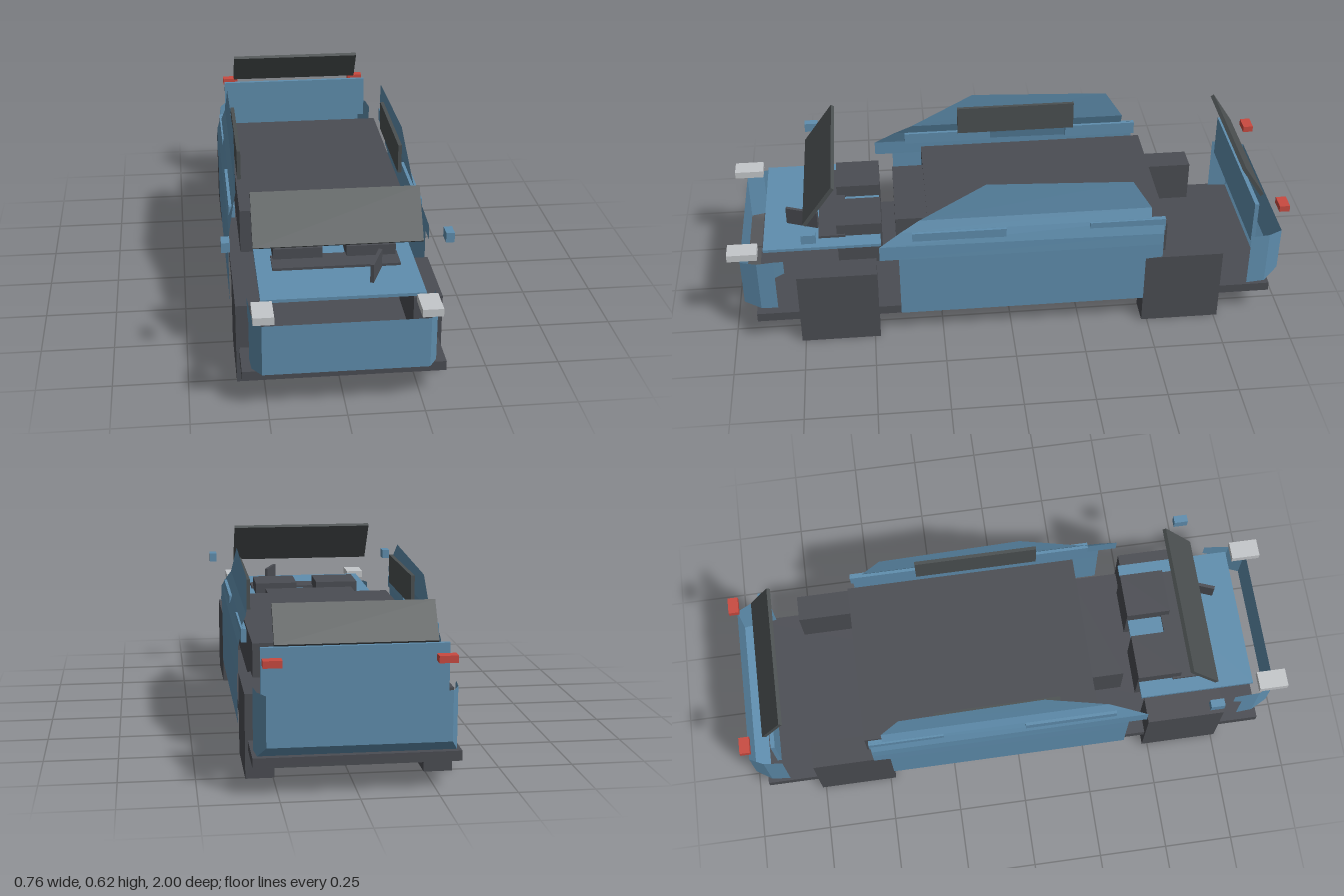
import * as THREE from 'three';

const mat = (name, color, side = THREE.FrontSide) => {
  const m = new THREE.MeshStandardMaterial({ color, side });
  m.name = name;
  return m;
};

export function createModel() {
  const car = new THREE.Group();
  car.name = 'explodedCar';
  const blue = mat('bodyBlue', 0x5f8eae, THREE.DoubleSide);
  const dark = mat('darkGrey', 0x4b4d53);
  const glass = mat('tintedGlass', 0x4b5051);
  const red = mat('tailRed', 0xc94a40);
  const pale = mat('lampGrey', 0xc4c7ca);

  const add = (name, geometry, material) => {
    const mesh = new THREE.Mesh(geometry, material);
    mesh.name = name;
    car.add(mesh);
    return mesh;
  };
  // Box given by its extents on each axis
  const box = (name, m, [x0, x1], [y0, y1], [z0, z1]) => {
    const mesh = add(name, new THREE.BoxGeometry(x1 - x0, y1 - y0, z1 - z0), m);
    mesh.position.set((x0 + x1) / 2, (y0 + y1) / 2, (z0 + z1) / 2);
    return mesh;
  };
  // The same box on both sides
  const pair = (name, m, [x0, x1], y, z) => {
    box(name + 'Left', m, [x0, x1], y, z);
    box(name + 'Right', m, [-x1, -x0], y, z);
  };
  // Thin sheet joining successive pairs of points, with flat facets
  const sheet = (name, rows, m) => {
    const p = [];
    for (let i = 0; i + 1 < rows.length; i++) {
      const [a, b] = rows[i], [c, d] = rows[i + 1];
      p.push(...a, ...b, ...d, ...a, ...d, ...c);
    }
    const g = new THREE.BufferGeometry();
    g.setAttribute('position', new THREE.Float32BufferAttribute(p, 3));
    g.computeVertexNormals();
    return add(name, g, m);
  };

  // Floor and undertray
  box('floor', dark, [-0.33, 0.33], [0.095, 0.128], [-0.95, 0.915]);
  box('undertray', dark, [-0.207, 0.207], [0.06, 0.096], [-0.43, 0.43]);

  // Block wheels
  pair('frontWheel', dark, [0.245, 0.34], [0, 0.283], [0.48, 0.763]);
  pair('rearWheel', dark, [0.245, 0.34], [0, 0.283], [-0.763, -0.48]);

  // Cabin block with a forward step in the middle
  box('cabinBlock', dark, [-0.298, 0.298], [0.24, 0.4], [-0.56, 0.29]);
  box('cabinStep', dark, [-0.175, 0.17], [0.24, 0.395], [0.29, 0.405]);

  // Seats, dashboard and steering blade
  pair('seat', dark, [0.04, 0.205], [0.24, 0.407], [0.455, 0.615]);
  box('dashboard', dark, [-0.212, 0.212], [0.315, 0.37], [0.585, 0.68]);
  const steering = box('steeringBlade', dark, [0.116, 0.128], [0.305, 0.425], [0.677, 0.797]);
  steering.rotation.y = -0.37;

  // Bonnet and tailgate panel
  box('bonnet', blue, [-0.265, 0.265], [0.35, 0.361], [0.46, 0.875]);
  box('tailgate', blue, [-0.298, 0.298], [0.3, 0.462], [-0.887, -0.872]);

  // Sloping front and rear glass
  const windscreen = add('windscreen', new THREE.BoxGeometry(0.555, 0.184, 0.014), glass);
  windscreen.position.set(0, 0.541, 0.668);
  windscreen.rotation.x = -Math.atan2(0.105, 0.145);
  const rearGlass = add('rearGlass', new THREE.BoxGeometry(0.515, 0.138, 0.014), glass);
  rearGlass.position.set(0, 0.53, -0.868);
  rearGlass.rotation.x = Math.atan2(0.075, 0.115);

  // Side windows, lamps and mirrors
  pair('sideWindow', glass, [0.284, 0.297], [0.46, 0.567], [-0.3, 0.147]);
  pair('headlamp', pale, [0.23, 0.297], [0.342, 0.368], [0.895, 1]);
  pair('tailLamp', red, [0.24, 0.3], [0.425, 0.448], [-1, -0.963]);
  pair('mirror', blue, [0.35, 0.378], [0.461, 0.495], [0.68, 0.73]);

  // Waist bars on the side panels
  pair('frontWaistBar', blue, [0.316, 0.338], [0.405, 0.447], [0.02, 0.35]);
  pair('rearWaistBar', blue, [0.316, 0.334], [0.4, 0.447], [-0.545, -0.275]);

  // Side panels as rows: x, front (z, y), rear (z, y)
  const side = [
    [0.344, 0.4, 0.105, -0.48, 0.105],
    [0.345, 0.4, 0.285, -0.48, 0.285],
    [0.345, 0.4, 0.29, -0.54, 0.29],
    [0.345, 0.4, 0.345, -0.54, 0.345],
    [0.345, 0.467, 0.345, -0.54, 0.345],
    [0.343, 0.467, 0.4, -0.54, 0.39],
    [0.327, 0.39, 0.448, -0.54, 0.448],
    [0.327, 0.39, 0.448, -0.495, 0.448],
    [0.312, 0.323, 0.485, -0.495, 0.485],
    [0.304, 0.088, 0.615, -0.425, 0.593],
  ];
  // Bumpers as columns from the middle outward: x, z, bottom, top
  const front = [
    [0, 0.96, 0.14, 0.315], [0.268, 0.96, 0.14, 0.315], [0.298, 0.9, 0.13, 0.325],
    [0.302, 0.84, 0.13, 0.333], [0.302, 0.84, 0.265, 0.333], [0.304, 0.805, 0.285, 0.335],
  ];
  const rear = [
    [0, -0.985, 0.17, 0.335], [0.29, -0.985, 0.17, 0.335],
    [0.315, -0.935, 0.13, 0.335], [0.322, -0.867, 0.13, 0.335],
  ];
  for (const [s, label] of [[1, 'Left'], [-1, 'Right']]) {
    sheet('sidePanel' + label,
      side.map(([x, zf, yf, zr, yr]) => [[s * x, yf, zf], [s * x, yr, zr]]), blue);
    for (const [name, cols] of [['frontBumper', front], ['rearBumper', rear]]) {
      // Wind every sheet so its front faces outward
      const flip = (name === 'frontBumper') === (s > 0);
      sheet(name + label, cols.map(([x, z, y0, y1]) => {
        const low = [s * x, y0, z], high = [s * x, y1, z];
        return flip ? [high, low] : [low, high];
      }), blue);
    }
  }
  // Underside lip of the rear bumper
  sheet('rearBumperLip', [
    [[-0.29, 0.17, -0.985], [0.29, 0.17, -0.985]],
    [[-0.315, 0.13, -0.935], [0.315, 0.13, -0.935]],
  ], blue);
  return car;
}
